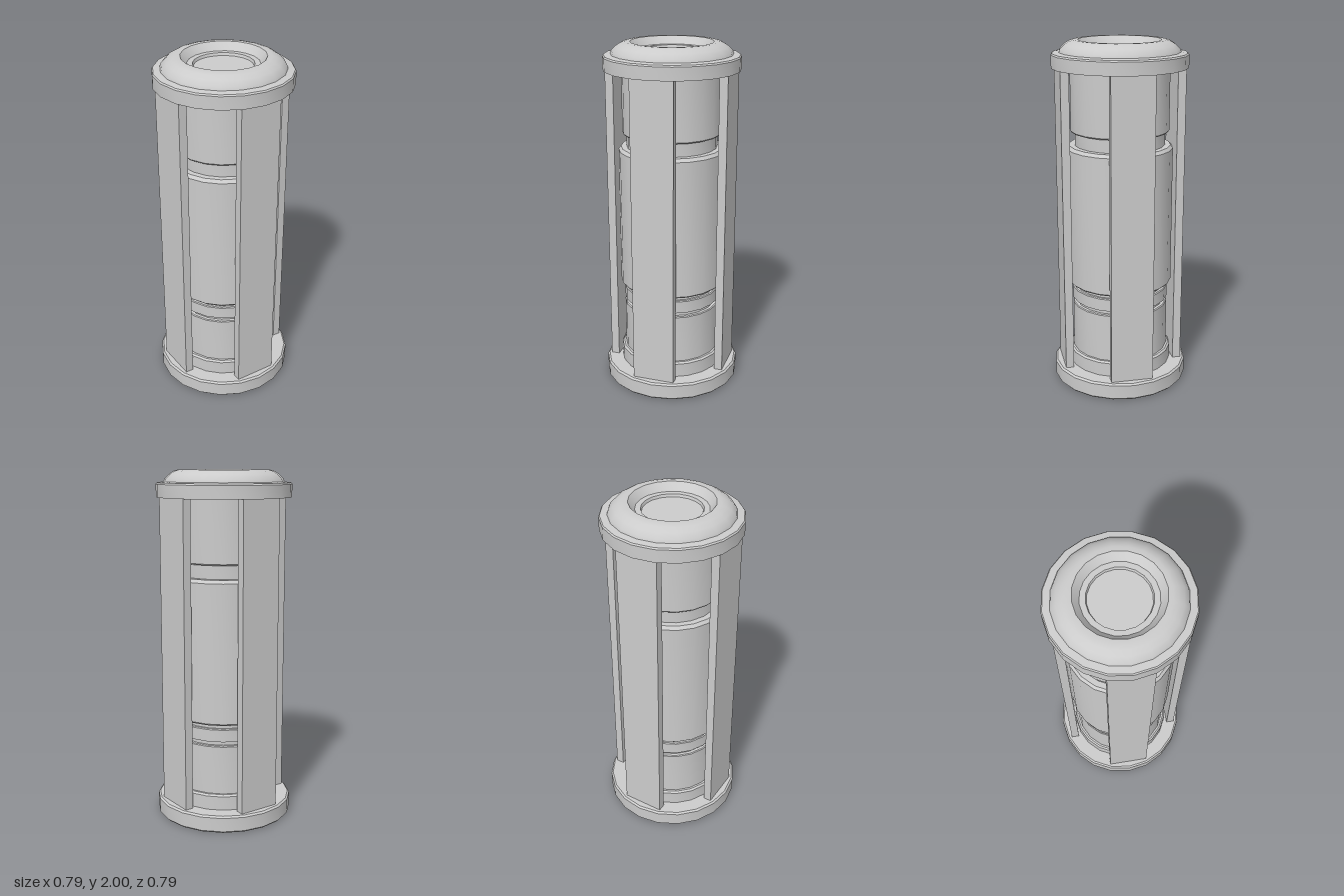
import * as THREE from 'three';
import { toCreasedNormals } from 'three/addons/utils/BufferGeometryUtils.js';

const SIDES = 20;
const material = new THREE.MeshStandardMaterial({ color: 0xcccccc });

// Closed turned part from [radius, height] pairs, listed bottom to top
function turned(name, profile) {
  const points = profile.map(([r, y]) => new THREE.Vector2(r, y));
  const geometry = toCreasedNormals(new THREE.LatheGeometry(points, SIDES), Math.PI / 6);
  const mesh = new THREE.Mesh(geometry, material);
  mesh.name = name;
  return mesh;
}

export function createModel() {
  const model = new THREE.Group();
  model.name = 'canister';

  // Foot disc with bevelled rims
  model.add(turned('base', [
    [0, 0], [0.384, 0], [0.394, 0.01], [0.394, 0.09], [0.384, 0.1], [0, 0.1],
  ]));

  // Stepped inner cylinder with grooves
  model.add(turned('core', [
    [0, 0.09], [0.302, 0.09], [0.302, 0.18], [0.292, 0.19],
    [0.28, 0.19], [0.28, 0.47], [0.275, 0.475], [0.258, 0.475],
    [0.258, 0.5], [0.28, 0.5], [0.28, 0.57], [0.275, 0.575], [0.262, 0.575],
    [0.262, 0.6], [0.292, 0.6], [0.302, 0.61], [0.302, 1.4], [0.288, 1.418],
    [0.256, 1.418], [0.256, 1.495], [0.275, 1.495], [0.28, 1.502],
    [0.28, 1.86], [0, 1.86],
  ]));

  // Lid with a domed rim and a recessed centre
  model.add(turned('lid', [
    [0, 1.85], [0.382, 1.85], [0.382, 1.922], [0.376, 1.93],
    [0.338, 1.935], [0.332, 1.952], [0.308, 1.976], [0.28, 1.993],
    [0.255, 2], [0.23, 2], [0.195, 1.957], [0.165, 1.957],
    [0.16, 1.942], [0, 1.942],
  ]));

  // Four upright guard plates around the core
  ['front', 'left', 'back', 'right'].forEach((side, i) => {
    const plate = new THREE.Mesh(new THREE.BoxGeometry(0.242, 1.76, 0.047), material);
    plate.position.set(0, 0.975, 0.326);
    const holder = new THREE.Group();
    holder.name = side + 'GuardPlate';
    holder.rotation.y = i * Math.PI / 2;
    holder.add(plate);
    model.add(holder);
  });

  return model;
}
